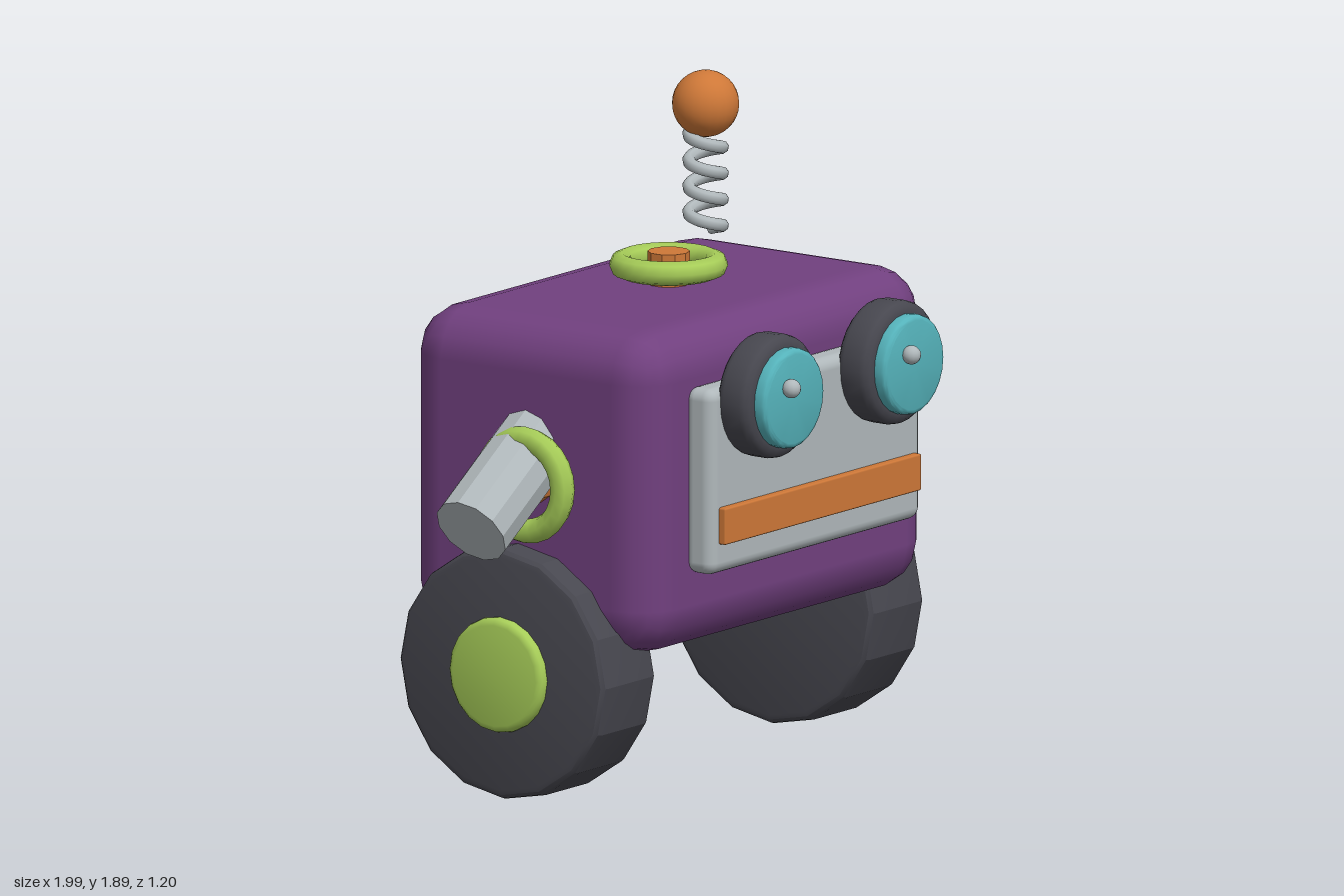
import * as THREE from 'three';
import { toCreasedNormals } from 'three/addons/utils/BufferGeometryUtils.js';
import { RoundedBoxGeometry } from 'three/addons/geometries/RoundedBoxGeometry.js';

function material(name, color) {
  const m = new THREE.MeshStandardMaterial({ color });
  m.name = name;
  return m;
}

// Disc along y with rounded rims
function roundedDisc(radius, height, bevel, sides, crease) {
  const steps = 3, h = height / 2, pts = [new THREE.Vector2(0, -h)];
  for (const end of [-1, 1]) {
    for (let i = 0; i <= steps; i++) {
      const t = (end < 0 ? i : steps - i) / steps * Math.PI / 2;
      pts.push(new THREE.Vector2(
        radius - bevel + bevel * Math.sin(t),
        end * (h - bevel + bevel * Math.cos(t))));
    }
  }
  pts.push(new THREE.Vector2(0, h));
  return toCreasedNormals(new THREE.LatheGeometry(pts, sides), crease);
}

export function createModel() {
  const model = new THREE.Group();
  model.name = 'robot';

  const purple = material('purple', 0x71407f);
  const charcoal = material('charcoal', 0x47474f);
  const silver = material('silver', 0xb0b8bb);
  const green = material('lime green', 0xa6cc58);
  const teal = material('teal', 0x55b3bb);
  const orange = material('orange', 0xce7838);

  function add(name, geometry, mat, x, y, z, parent = model) {
    const mesh = new THREE.Mesh(geometry, mat);
    mesh.name = name;
    mesh.position.set(x, y, z);
    parent.add(mesh);
    return mesh;
  }

  // Body and face
  add('body', new RoundedBoxGeometry(1.355, 0.93, 0.875, 2, 0.14), purple, 0, 0.895, -0.095);
  add('facePlate', new RoundedBoxGeometry(1.0, 0.535, 0.1, 3, 0.035), silver, 0, 0.932, 0.375);
  add('mouth', new RoundedBoxGeometry(0.93, 0.106, 0.05, 1, 0.006), orange, 0, 0.806, 0.4225);

  // Eyes
  const rimGeo = roundedDisc(0.177, 0.115, 0.03, 28, 0.6);
  const irisGeo = roundedDisc(0.143, 0.06, 0.015, 24, 0.6);
  const pupilGeo = new THREE.SphereGeometry(0.027, 14, 10);
  for (const x of [-0.284, 0.284]) {
    const eye = new THREE.Group();
    eye.name = x > 0 ? 'leftEye' : 'rightEye';
    eye.position.set(x, 1.158, 0);
    model.add(eye);
    add('eyeRim', rimGeo, charcoal, 0, 0, 0.463, eye).rotation.x = Math.PI / 2;
    add('iris', irisGeo, teal, 0, 0, 0.528, eye).rotation.x = Math.PI / 2;
    add('glint', pupilGeo, silver, -0.038, 0.038, 0.573, eye);
  }

  // Ringed buttons, built along +y and turned outwards
  const ringGeo = new THREE.TorusGeometry(0.133, 0.035, 8, 24).rotateX(Math.PI / 2);
  const buttonGeo = toCreasedNormals(new THREE.CylinderGeometry(0.06, 0.06, 0.12, 10), 0.3);
  function ringedButton(name, x, y, z, rx, rz) {
    const group = new THREE.Group();
    group.name = name;
    group.position.set(x, y, z);
    group.rotation.set(rx, 0, rz);
    model.add(group);
    add('ring', ringGeo, green, 0, 0, 0, group);
    add('button', buttonGeo, orange, 0, -0.022, 0, group);
  }
  ringedButton('topButton', 0, 1.415, -0.095, 0, 0);
  ringedButton('backButton', 0, 0.9, -0.563, -Math.PI / 2, 0);

  // Wheels, arms and side rings, mirrored
  const tyreGeo = roundedDisc(0.362, 0.257, 0.028, 16, 0.3);
  const hubGeo = roundedDisc(0.165, 0.07, 0.02, 20, 0.6);
  const armGeo = toCreasedNormals(new THREE.CylinderGeometry(0.112, 0.112, 0.55, 12), 0.3);
  for (const side of [1, -1]) {
    const label = side > 0 ? 'left' : 'right';
    const wheel = new THREE.Group();
    wheel.name = label + 'Wheel';
    wheel.position.set(side * 0.635, 0.362, -0.12);
    wheel.rotation.z = -side * Math.PI / 2;
    model.add(wheel);
    add('tyre', tyreGeo, charcoal, 0, 0, 0, wheel);
    add('hub', hubGeo, green, 0, 0.123, 0, wheel);

    // Arm slopes down and outwards from inside the body
    const tilt = Math.PI / 2 + 0.585;
    const arm = add(label + 'Arm', armGeo, silver,
      side * (0.935 - 0.275 * Math.sin(tilt)), 0.806 - 0.275 * Math.cos(tilt), -0.095);
    arm.rotation.z = -side * tilt;

    ringedButton(label + 'SideButton', side * 0.732, 0.91, -0.058, 0, -side * Math.PI / 2);
  }

  // Antenna: coil spring with a ball on top
  const coil = [];
  const turns = 4, steps = 64;
  for (let i = 0; i <= steps; i++) {
    const a = i / steps * turns * Math.PI * 2 - 0.4;
    coil.push(new THREE.Vector3(Math.cos(a) * 0.047, i / steps * 0.3, Math.sin(a) * 0.047));
  }
  const coilGeo = new THREE.TubeGeometry(new THREE.CatmullRomCurve3(coil), 128, 0.019, 8);
  const antenna = new THREE.Group();
  antenna.name = 'antenna';
  antenna.position.set(0.385, 1.425, -0.25);
  model.add(antenna);
  add('spring', coilGeo, silver, 0, 0, 0, antenna);
  add('ball', new THREE.SphereGeometry(0.095, 24, 16), orange, 0, 0.367, 0, antenna);

  return model;
}
